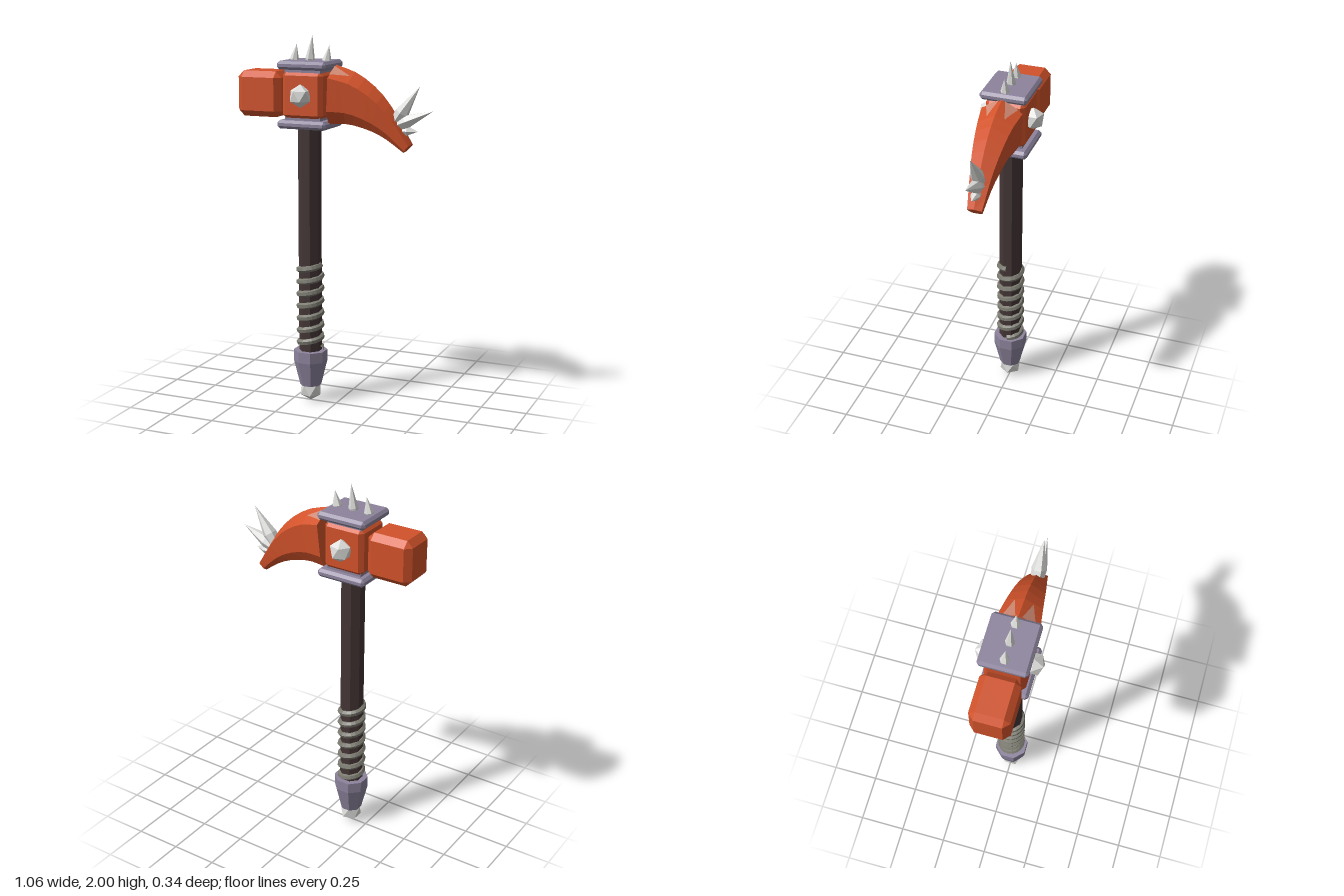
import * as THREE from 'three';
import { ConvexGeometry } from 'three/addons/geometries/ConvexGeometry.js';

const material = (name, color, side = THREE.FrontSide) => {
  const m = new THREE.MeshStandardMaterial({ color, flatShading: true, side });
  m.name = name;
  return m;
};

// Box with chamfered edges: each corner becomes three points
function chamferBox(w, h, d, c) {
  const pts = [];
  for (const x of [-1, 1]) for (const y of [-1, 1]) for (const z of [-1, 1]) {
    const X = w / 2, Y = h / 2, Z = d / 2;
    pts.push(
      new THREE.Vector3(x * X, y * (Y - c), z * (Z - c)),
      new THREE.Vector3(x * (X - c), y * Y, z * (Z - c)),
      new THREE.Vector3(x * (X - c), y * (Y - c), z * Z));
  }
  return new ConvexGeometry(pts);
}

function indexed(pos, idx) {
  const g = new THREE.BufferGeometry();
  g.setAttribute('position', new THREE.Float32BufferAttribute(pos, 3));
  g.setIndex(idx);
  g.computeVertexNormals();
  return g;
}

// The pick lies between a ridge curve and a belly curve
const curve = (pts) => new THREE.CatmullRomCurve3(pts.map(([x, y]) => new THREE.Vector3(x, y, 0)));
const ridge = curve([[0, 1.85], [0.12, 1.81], [0.24, 1.725], [0.33, 1.615], [0.42, 1.46]]);
const belly = curve([[-0.02, 1.545], [0.08, 1.55], [0.19, 1.525], [0.28, 1.485], [0.38, 1.415]]);
function pickPoint(t, down, side) {
  const p = ridge.getPoint(t).lerp(belly.getPoint(t), down);
  return [p.x, p.y, side * (0.108 - 0.07 * t)];
}

// Loft of seven-sided sections
function pickGeometry() {
  const section = [[0, 0], [0.2, 1], [0.77, 0.9], [1, 0.5], [1, -0.5], [0.77, -0.9], [0.2, -1]];
  const steps = 9, n = section.length, pos = [], idx = [];
  for (let i = 0; i <= steps; i++)
    for (const [down, side] of section) pos.push(...pickPoint(i / steps, down, side));
  for (let i = 0; i < steps; i++) for (let j = 0; j < n; j++) {
    const a = i * n + j, b = i * n + (j + 1) % n;
    idx.push(a, b, b + n, a, b + n, a + n);
  }
  const end = steps * n;
  for (let k = 1; k < n - 1; k++) idx.push(0, k + 1, k, end, end + k, end + k + 1);
  return indexed(pos, idx);
}

// Thin pale wedge painted on one slope of the pick's roof
function wedgeGeometry(s) {
  const pos = [], idx = [], steps = 5;
  for (let i = 0; i <= steps; i++) {
    const f = i / steps;
    for (const edge of [0.15 + 0.33 * f, 0.78 - 0.26 * f]) {
      const [x, y, z] = pickPoint(0.2 * f, 0.2 * edge, s * edge);
      pos.push(x, y + 0.005, z);
    }
    if (i < steps) idx.push(2 * i, 2 * i + 1, 2 * i + 3, 2 * i, 2 * i + 3, 2 * i + 2);
  }
  // Keep the upper side as the front
  if (s < 0) idx.reverse();
  return indexed(pos, idx);
}

export function createModel() {
  const group = new THREE.Group();
  group.name = 'warHammer';
  const orange = material('orange metal', 0xd1522a);
  const pale = material('pale worn orange', 0xd08a74, THREE.DoubleSide);
  const purple = material('purple metal', 0x8d849d);
  const silver = material('silver', 0xdcdcda);
  const wood = material('dark wood', 0x433535);
  const wire = material('grey wire', 0x7b7a70);
  const cx = -0.152;

  const add = (name, geometry, mat, x = 0, y = 0, z = 0) => {
    const m = new THREE.Mesh(geometry, mat);
    m.name = name;
    m.position.set(x, y, z);
    group.add(m);
    return m;
  };

  // Spike from base to tip, widest part way along
  const spike = (name, from, to, radius, belly, sides) => {
    const a = new THREE.Vector3(...from), dir = new THREE.Vector3(...to).sub(a);
    const len = dir.length();
    const g = new THREE.LatheGeometry([
      new THREE.Vector2(0, 0),
      new THREE.Vector2(radius * 0.85, 0.001),
      new THREE.Vector2(radius, len * belly),
      new THREE.Vector2(0, len)], sides);
    add(name, g, silver, ...from).quaternion
      .setFromUnitVectors(new THREE.Vector3(0, 1, 0), dir.normalize());
  };

  // Octagonal handle and pommel
  const octagon = (name, top, bottom, h, mat, y) => {
    const g = new THREE.CylinderGeometry(top, bottom, h, 8);
    g.rotateY(Math.PI / 8);
    add(name, g, mat, cx, y);
  };
  octagon('shaft', 0.062, 0.062, 1.27, wood, 0.915);
  octagon('pommelCollar', 0.092, 0.092, 0.06, purple, 0.265);
  octagon('pommelTaper', 0.092, 0.058, 0.14, purple, 0.165);

  // Icosahedron turned so a corner points straight down
  const gem = (r) => {
    const g = new THREE.IcosahedronGeometry(r, 0);
    g.rotateZ(Math.atan(2 / (1 + Math.sqrt(5))));
    return g;
  };
  add('pommelGem', gem(0.063), silver, cx, 0.067);

  // Wire wound round the grip
  const coil = [], turns = 7;
  for (let i = 0; i <= turns * 12; i++) {
    const a = i / 12 * Math.PI * 2, t = i / (turns * 12);
    coil.push(new THREE.Vector3(Math.cos(a) * 0.06, 0.3 + 0.475 * t, -Math.sin(a) * 0.06));
  }
  add('gripWire', new THREE.TubeGeometry(new THREE.CatmullRomCurve3(coil), 126, 0.0175, 6), wire, cx);

  // Head: centre block, collars, plates and striking block
  add('headBlock', chamferBox(0.228, 0.25, 0.21, 0.022), orange, cx, 1.692);
  for (const [name, y, inner] of [['lowerPlate', 1.54, 1], ['upperPlate', 1.847, -1]]) {
    add(name, chamferBox(0.276, 0.044, 0.25, 0.014), purple, cx + 0.003, y);
    add(name + 'Collar', new THREE.BoxGeometry(0.2, 0.035, 0.18), purple, cx, y + inner * 0.025);
  }
  add('strikingBlock', chamferBox(0.25, 0.24, 0.204, 0.032), orange, -0.406, 1.69);

  // Pick with pale wedges either side of its ridge
  add('pick', pickGeometry(), orange);
  for (const s of [-1, 1]) add('pickWedge', wedgeGeometry(s), pale);

  // Studs on both faces
  for (const s of [-1, 1]) add('sideStud', gem(0.061), silver, cx, 1.692, s * 0.117);

  // Spikes on the upper plate
  for (const [x, tip] of [[-0.24, 1.95], [-0.15, 2], [-0.055, 1.947]])
    spike('topSpike', [x, 1.86, 0], [x + 0.016, tip, 0], 0.025, 0.12, 6);

  // Spike cluster near the pick's tip
  spike('pickSpike', [0.325, 1.56, 0], [0.46, 1.755, 0], 0.037, 0.3, 6);
  spike('pickSpike', [0.32, 1.545, 0], [0.532, 1.632, 0], 0.037, 0.33, 6);
  spike('pickSpike', [0.35, 1.525, 0], [0.452, 1.525, 0], 0.026, 0.45, 6);

  return group;
}
